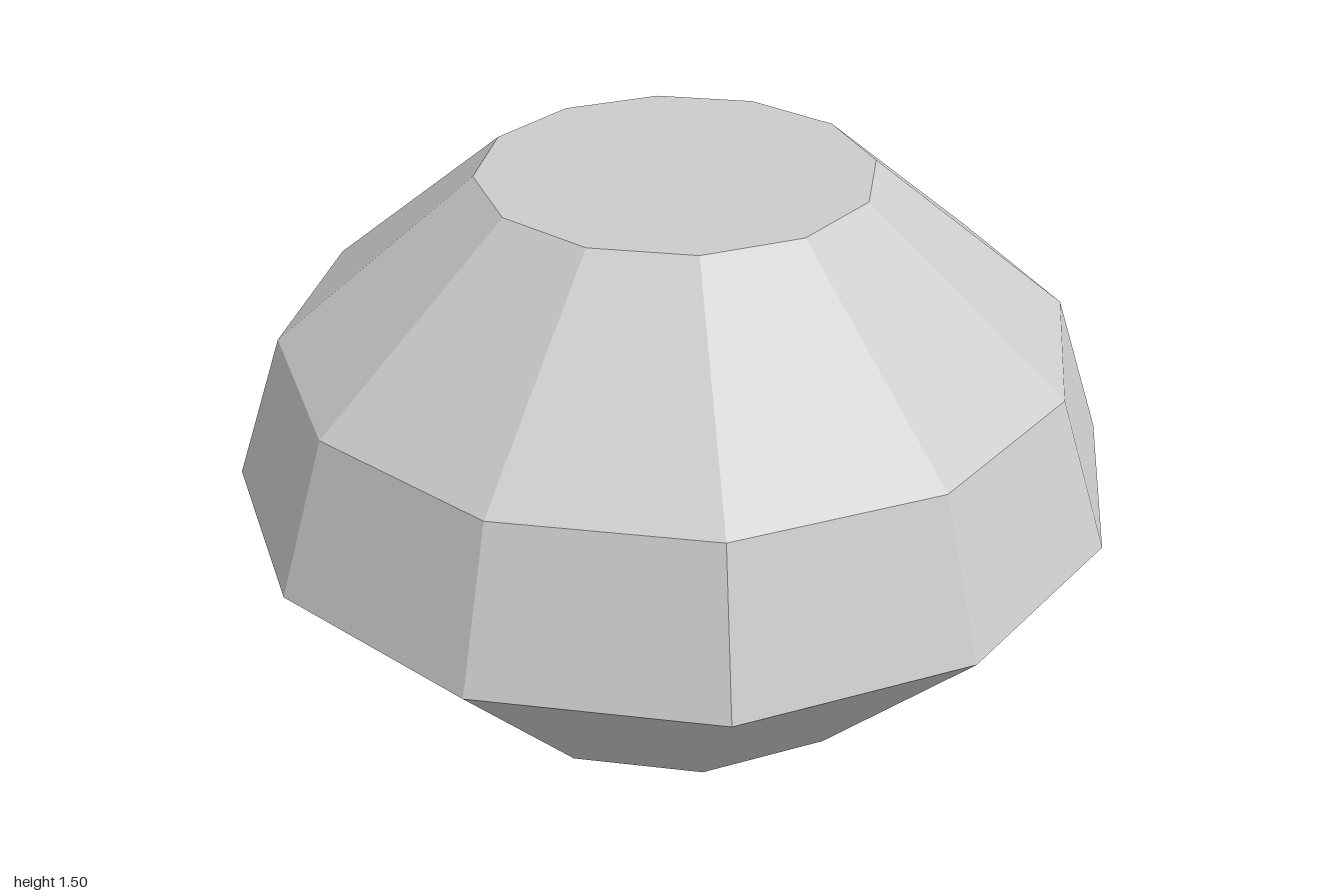
import * as THREE from 'three';

const SIDES = 12;

export function createModel() {
  const gem = new THREE.Group();
  gem.name = 'cutGem';

  const stone = new THREE.MeshStandardMaterial({ color: 0xcccccc });
  stone.name = 'paleGreyStone';
  stone.flatShading = true;

  // Faceted band turned from [radius, height] pairs, listed bottom to top
  const addFacets = (name, profile) => {
    const points = profile.map(([r, y]) => new THREE.Vector2(r, y));
    const mesh = new THREE.Mesh(new THREE.LatheGeometry(points, SIDES), stone);
    mesh.name = name;
    gem.add(mesh);
  };

  // Lower half, rising from the point to the girdle
  addFacets('pavilion', [[0, 0], [0.565, 0.3], [1, 0.8]]);

  // Upper half, from the girdle to the table edge
  addFacets('crown', [[1, 0.8], [0.88, 1.135], [0.432, 1.5]]);

  // Flat top facet
  const table = new THREE.Mesh(new THREE.CircleGeometry(0.432, SIDES), stone);
  table.name = 'table';
  table.rotation.x = -Math.PI / 2;
  table.position.y = 1.5;
  gem.add(table);

  return gem;
}
